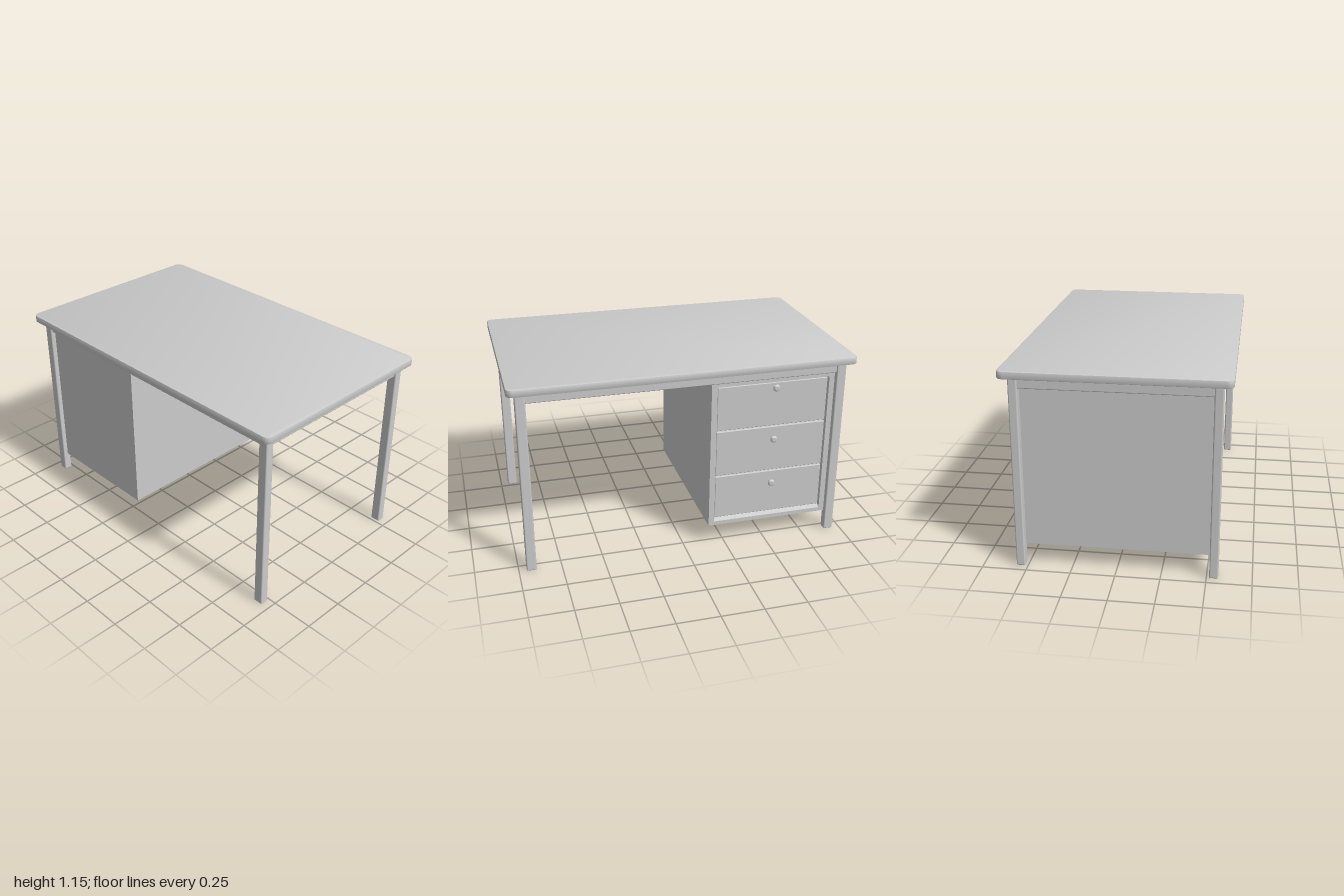
import * as THREE from 'three';
import { RoundedBoxGeometry } from 'three/addons/geometries/RoundedBoxGeometry.js';
import { toCreasedNormals } from 'three/addons/utils/BufferGeometryUtils.js';

const material = new THREE.MeshStandardMaterial({ color: 0xcccccc });

function add(parent, name, geometry, x = 0, y = 0, z = 0) {
  const mesh = new THREE.Mesh(geometry, material);
  mesh.name = name;
  mesh.position.set(x, y, z);
  parent.add(mesh);
  return mesh;
}

// Box given by its lower and upper limits, with softened edges when r > 0
function block(parent, name, [x0, x1], [y0, y1], [z0, z1], r = 0) {
  const size = [x1 - x0, y1 - y0, z1 - z0];
  const geometry = r ? new RoundedBoxGeometry(...size, 3, r) : new THREE.BoxGeometry(...size);
  return add(parent, name, geometry, (x0 + x1) / 2, (y0 + y1) / 2, (z0 + z1) / 2);
}

function roundedRect(w, h, r) {
  const s = new THREE.Shape();
  s.absarc(w / 2 - r, h / 2 - r, r, 0, Math.PI / 2);
  s.absarc(-w / 2 + r, h / 2 - r, r, Math.PI / 2, Math.PI);
  s.absarc(-w / 2 + r, -h / 2 + r, r, Math.PI, Math.PI * 1.5);
  s.absarc(w / 2 - r, -h / 2 + r, r, Math.PI * 1.5, Math.PI * 2);
  s.closePath();
  return s;
}

export function createModel() {
  const desk = new THREE.Group();
  desk.name = 'desk';

  // Table top with rounded corners and a fine edge bevel
  const bevel = 0.004;
  const top = new THREE.ExtrudeGeometry(roundedRect(1.23 - 2 * bevel, 2 - 2 * bevel, 0.032), {
    depth: 0.042 - 2 * bevel, bevelThickness: bevel, bevelSize: bevel, bevelSegments: 2, curveSegments: 8,
  });
  top.rotateX(-Math.PI / 2);
  add(desk, 'tableTop', toCreasedNormals(top, 0.6), 0, 1.11 + bevel, 0);

  // Four square legs with softened edges
  for (const sx of [-1, 1]) {
    for (const sz of [-1, 1]) {
      add(desk, 'leg', new RoundedBoxGeometry(0.05, 1.112, 0.058, 3, 0.008), sx * 0.54, 0.556, sz * 0.926);
    }
  }

  // Apron rails between the legs
  for (const s of [-1, 1]) {
    add(desk, 'endApron', new RoundedBoxGeometry(1.04, 0.07, 0.036, 3, 0.006), 0, 1.08, s * 0.928);
    add(desk, 'sideApron', new RoundedBoxGeometry(0.036, 0.07, 1.81, 3, 0.006), s * 0.538, 1.08, 0);
  }

  // Drawer cabinet: carcass and a raised front frame with a sloping sill
  const cabinet = new THREE.Group();
  cabinet.name = 'drawerCabinet';
  desk.add(cabinet);
  const back = -0.91, front = -0.15, low = 0.12, high = 1.045;
  block(cabinet, 'carcass', [-0.537, 0.505], [low, high], [back, front]);
  const frameX = [0.505, 0.537];
  block(cabinet, 'frameStile', frameX, [low, high], [-0.185, front]);
  block(cabinet, 'frameStile', frameX, [low, high], [back, -0.865]);
  block(cabinet, 'frameHead', frameX, [1.018, high], [-0.865, -0.185]);
  const sill = new THREE.Shape();
  sill.moveTo(0.505, low).lineTo(0.537, low).lineTo(0.537, 0.145).lineTo(0.505, 0.16).closePath();
  add(cabinet, 'frameSill', new THREE.ExtrudeGeometry(sill, { depth: 0.68, bevelEnabled: false }), 0, 0, -0.865);

  // Drawer fronts, each with a turned knob
  const knobProfile = [
    [0, 0], [0.009, 0], [0.009, 0.012], [0.018, 0.018], [0.021, 0.025], [0.018, 0.032], [0.01, 0.036], [0, 0.037],
  ].map(([r, h]) => new THREE.Vector2(r, h));
  const knob = toCreasedNormals(new THREE.LatheGeometry(knobProfile, 24), 0.8);
  knob.rotateZ(-Math.PI / 2);

  const drawers = [[0.165, 0.439, 0.37], [0.447, 0.731, 0.66], [0.739, 1.01, 0.985]];
  for (const [y0, y1, knobY] of drawers) {
    block(cabinet, 'drawerFront', [0.49, 0.524], [y0, y1], [-0.86, -0.19], 0.004);
    add(cabinet, 'drawerKnob', knob, 0.524, knobY, -0.535);
  }

  return desk;
}
